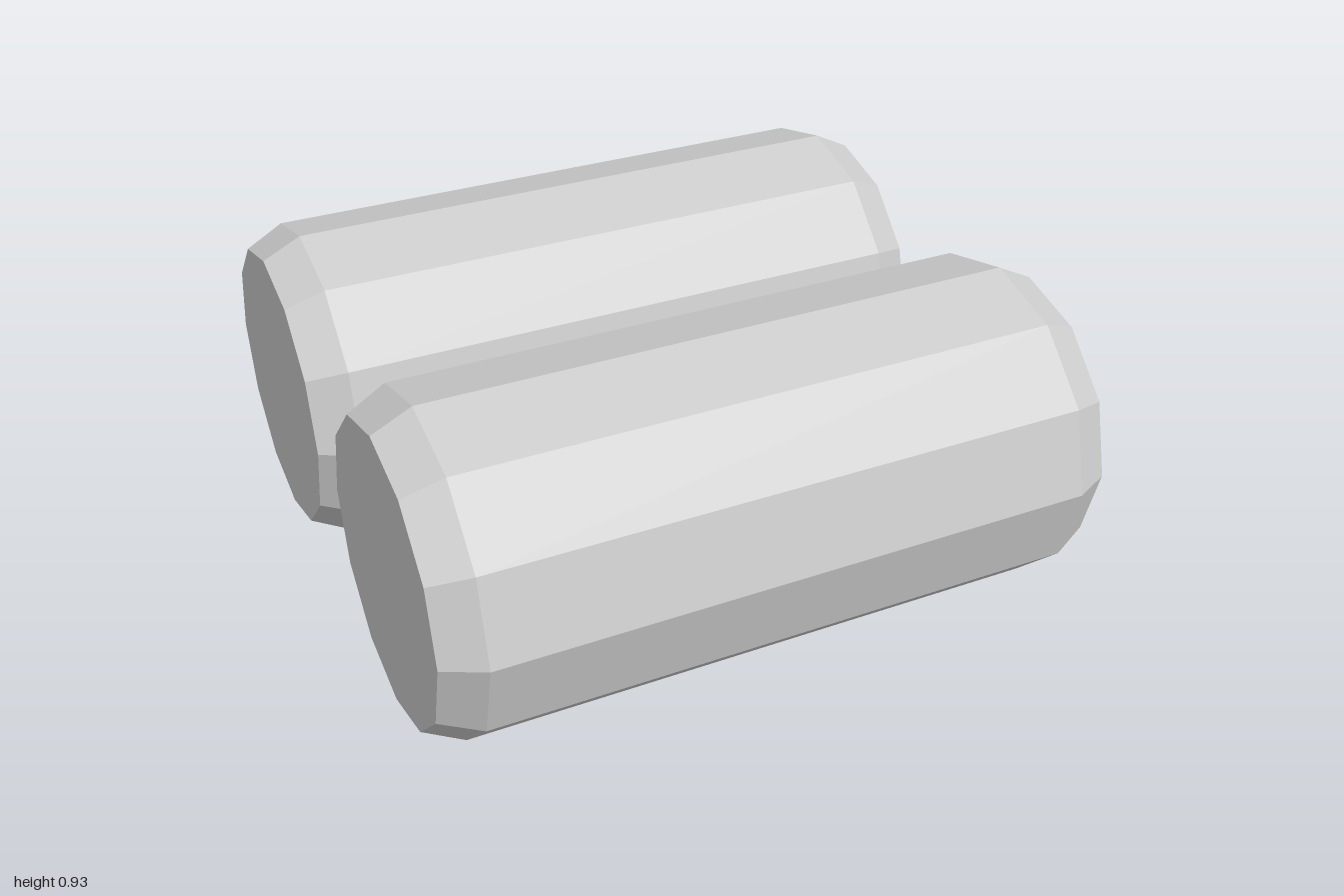
import * as THREE from 'three';

const SIDES = 12;
const RADIUS = 0.463;

// Closed, faceted solid of revolution lying along x; profile is [radius, x] pairs
function turned(name, profile, material) {
  const points = profile.map(([r, x]) => new THREE.Vector2(r, x));
  const geometry = new THREE.LatheGeometry(points, SIDES);
  geometry.rotateZ(-Math.PI / 2);
  const mesh = new THREE.Mesh(geometry, material);
  mesh.name = name;
  return mesh;
}

export function createModel() {
  const grey = new THREE.MeshStandardMaterial({ color: 0xcccccc, flatShading: true });
  grey.name = 'grey';

  const model = new THREE.Group();
  model.name = 'batteryPair';

  for (const [name, z] of [['frontBattery', 0.5], ['backBattery', -0.5]]) {
    const battery = new THREE.Group();
    battery.name = name;

    // Chamfered casing
    battery.add(turned('casing', [
      [0, -1], [0.408, -1], [RADIUS, -0.89],
      [RADIUS, 0.78], [0.41, 0.885], [0, 0.885],
    ], grey));

    // Rounded terminal at the +x end
    battery.add(turned('terminal', [
      [0.17, 0.88], [0.16, 0.955], [0.132, 1], [0, 1],
    ], grey));

    battery.position.set(0, RADIUS, z);
    model.add(battery);
  }
  return model;
}
